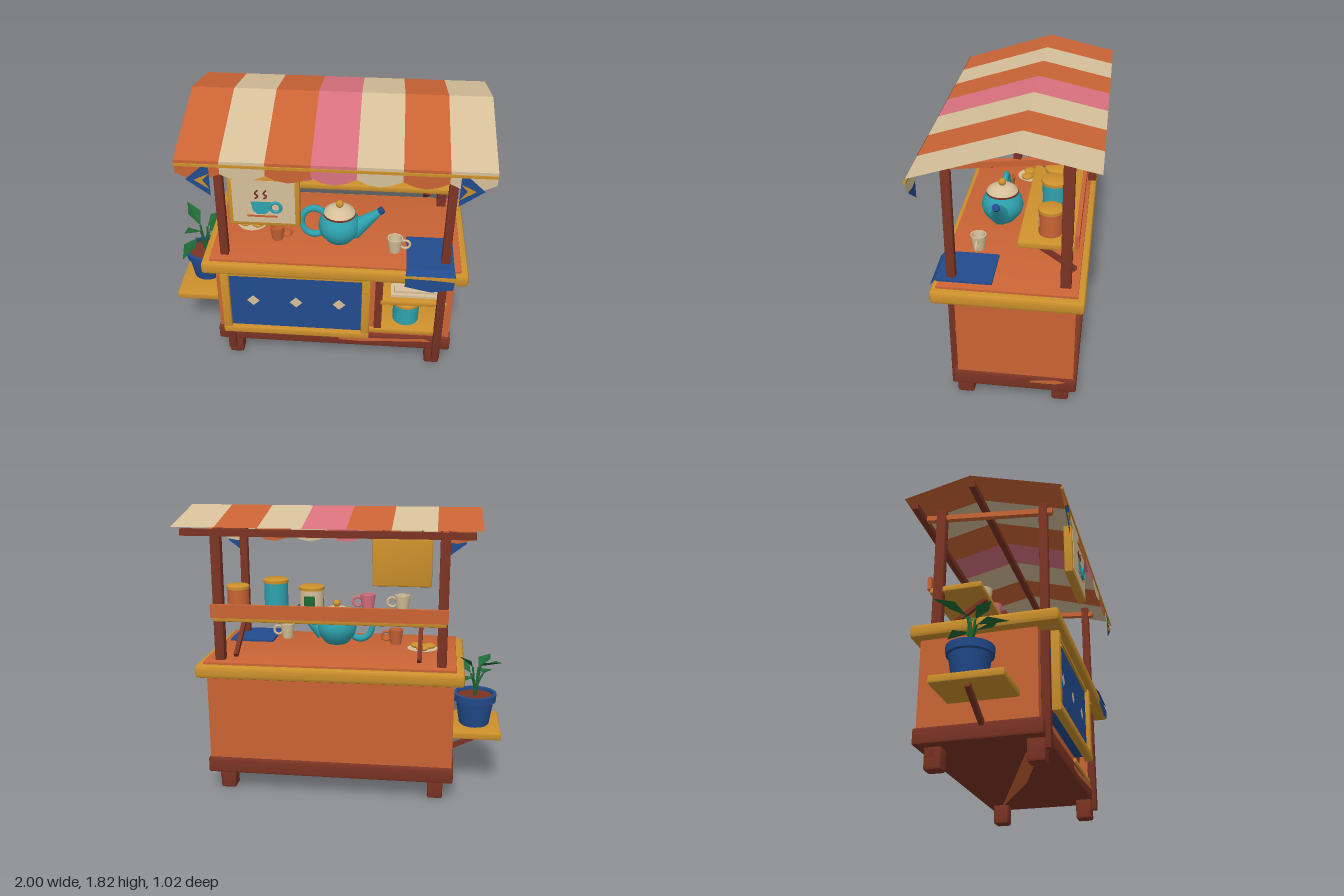
import * as THREE from 'three';
import { toCreasedNormals } from 'three/addons/utils/BufferGeometryUtils.js';
import { RoundedBoxGeometry } from 'three/addons/geometries/RoundedBoxGeometry.js';

const mat = {};
const palette = { orange: 0xca6435, cream: 0xd6c09a, pink: 0xd9727f, gold: 0xcc902c, teal: 0x2ea3af,
  blue: 0x224b8d, brown: 0x7a3323, green: 0x1f6835 };
for (const [name, color] of Object.entries(palette)) {
  mat[name] = new THREE.MeshStandardMaterial({ color, side: THREE.DoubleSide });
  mat[name].name = name;
}
const V = (x, y, z) => new THREE.Vector3(x, y, z);

function add(parent, name, geo, color, x = 0, y = 0, z = 0) {
  const m = new THREE.Mesh(geo, mat[color]);
  m.name = name;
  m.position.set(x, y, z);
  parent.add(m);
  return m;
}
// Box given by its extents, with optional chamfer
function box(p, name, color, x0, x1, y0, y1, z0, z1, r = 0) {
  const s = [x1 - x0, y1 - y0, z1 - z0];
  const geo = r ? toCreasedNormals(new RoundedBoxGeometry(...s, 1, r), 0.4) : new THREE.BoxGeometry(...s);
  return add(p, name, geo, color, (x0 + x1) / 2, (y0 + y1) / 2, (z0 + z1) / 2);
}
// Straight bar between two points
function bar(p, name, color, a, b, w) {
  const d = b.clone().sub(a), c = a.clone().add(b).multiplyScalar(0.5);
  const m = add(p, name, new THREE.BoxGeometry(w, d.length(), w), color, c.x, c.y, c.z);
  m.quaternion.setFromUnitVectors(V(0, 1, 0), d.normalize());
  return m;
}
function quad(p, name, color, a, b, c, d) {
  const g = new THREE.BufferGeometry().setFromPoints([a, b, c, a, c, d]);
  g.computeVertexNormals();
  return add(p, name, g, color);
}
// Flat plate from x,y points, facing +z
function plate(p, name, color, pts, z) {
  return add(p, name, new THREE.ShapeGeometry(new THREE.Shape(pts.map(q => new THREE.Vector2(...q)))), color, 0, 0, z);
}
function lathe(p, name, color, pts, x, y, z, seg = 24) {
  const g = new THREE.LatheGeometry(pts.map(q => new THREE.Vector2(...q)), seg);
  return add(p, name, toCreasedNormals(g, 0.7), color, x, y, z);
}
function tube(p, name, color, pts, r, seg = 12) {
  return add(p, name, new THREE.TubeGeometry(new THREE.CatmullRomCurve3(pts), seg, r, 6), color);
}
function group(parent, name) {
  const g = new THREE.Group();
  g.name = name;
  parent.add(g);
  return g;
}

function mug(p, color, x, y, z) {
  const g = group(p, 'mug');
  lathe(g, 'mugBody', color, [[0, 0], [0.036, 0], [0.05, 0.1], [0.043, 0.1], [0.032, 0.012], [0, 0.012]], x, y, z, 16);
  add(g, 'mugHandle', new THREE.TorusGeometry(0.03, 0.009, 6, 14), color, x + 0.065, y + 0.053, z);
}
function jar(p, color, x, y, z, r, h, patches) {
  const g = group(p, 'jar');
  add(g, 'jarBody', new THREE.CylinderGeometry(r, r, h - 0.02, 24), color, x, y + (h - 0.02) / 2, z);
  lathe(g, 'jarLid', 'gold', [[0, 0], [r + 0.005, 0], [r + 0.005, 0.018], [r - 0.008, 0.026], [0, 0.028]], x, y + h - 0.028, z);
  for (const [c, angle, arc, y0, ph] of patches)
    add(g, 'jarLabel', new THREE.CylinderGeometry(r + 0.003, r + 0.003, ph, 6, 1, true, angle - arc / 2, arc), c, x, y + y0, z);
}

export function createModel() {
  const root = new THREE.Group();
  root.name = 'teaStall';

  // Cabinet with an open bay on its left
  const cab = group(root, 'cabinet');
  for (const [x0, x1] of [[-0.637, -0.54], [0.71, 0.81]])
    for (const [z0, z1] of [[0.215, 0.32], [-0.38, -0.275]]) box(cab, 'foot', 'brown', x0, x1, 0, 0.15, z0, z1, 0.014);
  box(cab, 'plinth', 'brown', -0.7, 0.872, 0.13, 0.23, -0.43, 0.325, 0.012);
  box(cab, 'cabinetBody', 'orange', -0.69, 0.36, 0.225, 0.785, -0.41, 0.3);
  box(cab, 'sidePanel', 'orange', 0.79, 0.86, 0.225, 0.785, -0.41, 0.3);
  box(cab, 'backPanel', 'orange', 0.36, 0.79, 0.225, 0.785, -0.41, -0.1);
  box(cab, 'bayFloor', 'orange', 0.36, 0.79, 0.225, 0.255, -0.1, 0.3);
  box(cab, 'bayDivider', 'brown', 0.355, 0.405, 0.27, 0.78, -0.1, 0.31);
  box(cab, 'bayShelf', 'gold', 0.39, 0.825, 0.495, 0.53, -0.1, 0.312, 0.006);
  box(cab, 'baySill', 'gold', 0.24, 0.79, 0.25, 0.285, -0.1, 0.315, 0.006);
  box(cab, 'counterEdge', 'gold', -0.75, 0.925, 0.775, 0.858, -0.462, 0.435, 0.02);
  box(cab, 'counterTop', 'orange', -0.7, 0.88, 0.85, 0.876, -0.42, 0.4, 0.006);

  // Worn patches on the plinth
  plate(cab, 'wornPatch', 'orange', [[0.12, 0.18], [0.28, 0.172], [0.6, 0.195], [0.75, 0.2], [0.7, 0.222], [0.5, 0.212], [0.12, 0.198]], 0.327);
  const side = plate(cab, 'wornPatch', 'orange', [[0.14, 0.188], [0.3, 0.188], [0.37, 0.21], [0.3, 0.22], [0.16, 0.205]], 0);
  side.rotation.y = Math.PI / 2;
  side.position.x = 0.874;
  quad(cab, 'wornPatch', 'orange', V(0.78, 0.128, -0.34), V(0.2, 0.128, 0), V(-0.5, 0.128, 0.27), V(-0.4, 0.128, 0.15));

  // Sliding front panel
  const panel = group(root, 'frontPanel');
  box(panel, 'panelBoard', 'blue', -0.6, 0.29, 0.3, 0.76, 0.3, 0.385);
  for (const x of [-0.64, 0.27]) {
    box(panel, 'panelStile', 'gold', x, x + 0.055, 0.275, 0.765, 0.36, 0.412, 0.008);
    const pin = add(panel, 'panelPin', new THREE.CylinderGeometry(0.013, 0.013, 0.012, 10), 'gold', x + 0.028, 0.67, 0.416);
    pin.rotation.x = Math.PI / 2;
  }
  box(panel, 'panelRail', 'gold', -0.64, 0.325, 0.275, 0.325, 0.365, 0.415, 0.008);
  box(panel, 'panelTopTrim', 'gold', -0.59, 0.275, 0.745, 0.765, 0.365, 0.4);
  for (const x of [-0.435, -0.155, 0.125])
    plate(panel, 'diamond', 'cream', [[x - 0.042, 0.54], [x, 0.498], [x + 0.042, 0.54], [x, 0.582]], 0.388);

  // Posts, rafters and roof beams
  const frame = group(root, 'frame');
  for (const x of [-0.608, 0.782]) {
    box(frame, 'frontPost', 'brown', x - 0.026, x + 0.026, 0.07, 1.665, 0.3, 0.352, 0.005);
    box(frame, 'rearPost', 'brown', x - 0.03, x + 0.03, 0.07, 1.735, -0.375, -0.312, 0.005);
    bar(frame, 'rafter', 'orange', V(x, 1.605, 0.385), V(x, 1.7, -0.46), 0.035);
  }
  for (const [y, z] of [[1.785, -0.09], [1.69, -0.465]])
    box(frame, 'roofBeam', 'brown', -0.78, 0.96, y - 0.02, y + 0.02, z - 0.02, z + 0.02);

  // Striped canopy with scalloped valance
  const canopy = group(root, 'canopy');
  const stripes = ['orange', 'cream', 'orange', 'pink', 'cream', 'orange', 'cream'], w = 1.82 / 7;
  stripes.forEach((c, i) => {
    const a = -0.82 + i * w, b = a + w;
    quad(canopy, 'frontSlope', c, V(a, 1.635, 0.485), V(b, 1.635, 0.485), V(b, 1.82, -0.09), V(a, 1.82, -0.09));
    quad(canopy, 'rearSlope', c, V(a, 1.82, -0.09), V(b, 1.82, -0.09), V(b, 1.725, -0.52), V(a, 1.725, -0.52));
    const pts = [[b, 1.637], [a, 1.637]];
    for (let k = 0; k <= 4; k++) pts.push([a + w * k / 4, 1.555 - 0.042 * Math.sin(Math.PI * k / 4)]);
    plate(canopy, 'valance', c, pts, 0.487);
  });
  box(canopy, 'valancePiping', 'gold', -0.82, 1, 1.602, 1.618, 0.482, 0.495);
  // Corner pennants, mirrored about the stall's middle
  for (const s of [-1, 1]) {
    const at = pts => pts.map(([x, y]) => [0.09 + s * x, y]);
    plate(canopy, 'pennant', 'blue', at([[0.71, 1.6], [0.75, 1.605], [0.85, 1.515], [0.71, 1.41]]), 0.491);
    plate(canopy, 'pennantPatch', 'gold', at([[0.71, 1.56], [0.8, 1.515], [0.71, 1.455], [0.75, 1.515]]), 0.494);
  }

  // Rear shelf with its braces, jars and mugs
  const shelf = group(root, 'rearShelf');
  box(shelf, 'shelfBoard', 'gold', -0.63, 0.81, 1.13, 1.17, -0.4, -0.065, 0.008);
  box(shelf, 'shelfBack', 'orange', -0.64, 0.82, 1.155, 1.24, -0.41, -0.385);
  for (const x of [-0.472, 0.672]) bar(shelf, 'shelfBrace', 'brown', V(x, 1.13, -0.08), V(x, 0.915, -0.39), 0.027);
  jar(shelf, 'cream', 0.212, 1.17, -0.24, 0.074, 0.175,
    [['green', -0.9, 0.7, 0.05, 0.07], ['green', 0.85, 0.7, 0.1, 0.08], ['green', -0.55, 0.35, 0.11, 0.035], ['green', 3.1, 0.9, 0.075, 0.08]]);
  jar(shelf, 'teal', 0.437, 1.17, -0.24, 0.074, 0.215, [['cream', 0, 1.1, 0.11, 0.055]]);
  jar(shelf, 'orange', 0.683, 1.17, -0.24, 0.068, 0.17, [['cream', 0, 1.1, 0.085, 0.06]]);
  mug(shelf, 'pink', -0.13, 1.17, -0.13);
  mug(shelf, 'cream', -0.35, 1.17, -0.13);

  // Things in the open bay
  jar(root, 'teal', 0.568, 0.285, 0.18, 0.088, 0.17, []);
  box(root, 'foldedCloth', 'cream', 0.46, 0.77, 0.53, 0.548, -0.02, 0.27);
  box(root, 'foldedCloth', 'cream', 0.48, 0.76, 0.551, 0.568, 0, 0.25);

  // Teapot
  const pot = group(root, 'teapot');
  lathe(pot, 'teapotBody', 'teal', [[0, 0], [0.07, 0], [0.085, 0.012], [0.122, 0.06], [0.135, 0.11], [0.125, 0.16], [0.1, 0.2], [0, 0.205]], 0.105, 0.878, 0.125);
  lathe(pot, 'teapotRim', 'brown', [[0, 0], [0.104, 0], [0.104, 0.012], [0, 0.012]], 0.105, 1.076, 0.125);
  lathe(pot, 'teapotLid', 'cream', [[0, 0], [0.103, 0], [0.095, 0.016], [0.06, 0.038], [0, 0.046]], 0.105, 1.086, 0.125);
  add(pot, 'lidKnob', new THREE.SphereGeometry(0.025, 14, 10), 'gold', 0.105, 1.15, 0.125);
  const handle = add(pot, 'teapotHandle', new THREE.TorusGeometry(0.083, 0.02, 8, 24), 'teal', -0.055, 1.01, 0.125);
  handle.scale.y = 1.2;
  const spoutDir = V(0.19, 0.17, 0).normalize();
  const cone = (name, color, r0, r1, x, y, len) => {
    const m = add(pot, name, new THREE.CylinderGeometry(r1, r0, len, 10), color, x, y, 0.125);
    m.quaternion.setFromUnitVectors(V(0, 1, 0), spoutDir);
  };
  cone('spout', 'teal', 0.066, 0.022, 0.275, 1.03, 0.23);
  cone('spoutTip', 'blue', 0.024, 0.024, 0.368, 1.113, 0.025);

  // Mugs, biscuits and cloth on the counter
  mug(root, 'orange', -0.295, 0.876, 0.145);
  mug(root, 'cream', 0.465, 0.876, 0.22);
  lathe(root, 'plate', 'cream', [[0, 0], [0.06, 0], [0.1, 0.016], [0.06, 0.011], [0, 0.011]], -0.48, 0.877, 0);
  for (const [x, z] of [[-0.525, 0.02], [-0.44, 0.03], [-0.48, -0.045]]) {
    const b = add(root, 'biscuit', new THREE.SphereGeometry(0.042, 14, 8), 'gold', x, 0.903, z);
    b.scale.y = 0.42;
  }
  const cloth = group(root, 'counterCloth');
  box(cloth, 'clothTop', 'blue', 0.54, 0.835, 0.877, 0.89, 0.08, 0.41);
  quad(cloth, 'clothFold', 'blue', V(0.535, 0.85, 0.443), V(0.845, 0.85, 0.443), V(0.835, 0.889, 0.41), V(0.54, 0.889, 0.41));
  plate(cloth, 'clothFlap', 'blue', [[0.535, 0.83], [0.535, 0.765], [0.7, 0.73], [0.835, 0.755], [0.84, 0.815], [0.7, 0.825]], 0.443);

  // Hanging sign with a steaming cup
  const sign = group(root, 'sign');
  box(sign, 'signFrame', 'gold', -0.525, -0.105, 1.21, 1.548, 0.43, 0.484, 0.01);
  box(sign, 'signFace', 'cream', -0.498, -0.132, 1.235, 1.522, 0.48, 0.4865);
  for (const x of [-0.45, -0.18]) box(sign, 'signCord', 'brown', x - 0.004, x + 0.004, 1.54, 1.63, 0.468, 0.476);
  plate(sign, 'paintedCup', 'teal', [[-0.39, 1.385], [-0.38, 1.325], [-0.355, 1.3], [-0.305, 1.3], [-0.28, 1.325], [-0.27, 1.385]], 0.494);
  add(sign, 'paintedHandle', new THREE.TorusGeometry(0.032, 0.01, 6, 18), 'teal', -0.245, 1.35, 0.495);
  plate(sign, 'paintedSaucer', 'orange', [[-0.42, 1.292], [-0.41, 1.278], [-0.24, 1.278], [-0.23, 1.292]], 0.494);
  for (const x of [-0.355, -0.305])
    tube(sign, 'paintedSteam', 'brown', [V(x - 0.008, 1.405, 0.492), V(x + 0.01, 1.42, 0.492), V(x - 0.008, 1.44, 0.492), V(x + 0.008, 1.46, 0.492)], 0.005);

  // Side ledge with potted plant
  const plant = group(root, 'plantLedge');
  box(plant, 'ledgeBoard', 'gold', -1, -0.685, 0.355, 0.402, -0.23, 0.195, 0.008);
  bar(plant, 'ledgeBrace', 'brown', V(-0.95, 0.345, -0.02), V(-0.685, 0.215, -0.02), 0.03);
  const px = -0.832, pz = -0.05;
  lathe(plant, 'flowerPot', 'blue', [[0, 0], [0.098, 0], [0.122, 0.15], [0.137, 0.155], [0.14, 0.205], [0.118, 0.205], [0.115, 0.16]], px, 0.41, pz);
  add(plant, 'potFoot', new THREE.CylinderGeometry(0.09, 0.09, 0.02, 20), 'blue', px, 0.405, pz);
  add(plant, 'soil', new THREE.CylinderGeometry(0.118, 0.115, 0.02, 20), 'brown', px, 0.585, pz);
  const leaves = [
    [V(-0.86, 0.8, -0.06), V(-0.98, 0.875, -0.23)], [V(-0.88, 0.73, 0), V(-0.93, 0.7, 0.205)],
    [V(-0.81, 0.79, -0.06), V(-0.72, 0.88, -0.13)], [V(-0.8, 0.74, -0.03), V(-0.7, 0.8, 0.1)],
    [V(-0.85, 0.78, -0.02), V(-0.93, 0.84, 0.1)], [V(-0.81, 0.73, -0.08), V(-0.73, 0.74, -0.23)]];
  for (const [base, tip] of leaves) {
    tube(plant, 'stem', 'green', [V(px, 0.59, pz), V(px * 0.6 + base.x * 0.4, 0.68, pz * 0.6 + base.z * 0.4), base], 0.007, 6);
    const d = tip.clone().sub(base), s = d.clone().cross(V(0, 1, 0)).setLength(0.045);
    const mid = base.clone().addScaledVector(d, 0.45).add(V(0, 0.02, 0));
    quad(plant, 'leaf', 'green', base, mid.clone().add(s), tip, mid.clone().sub(s));
  }
  return root;
}
